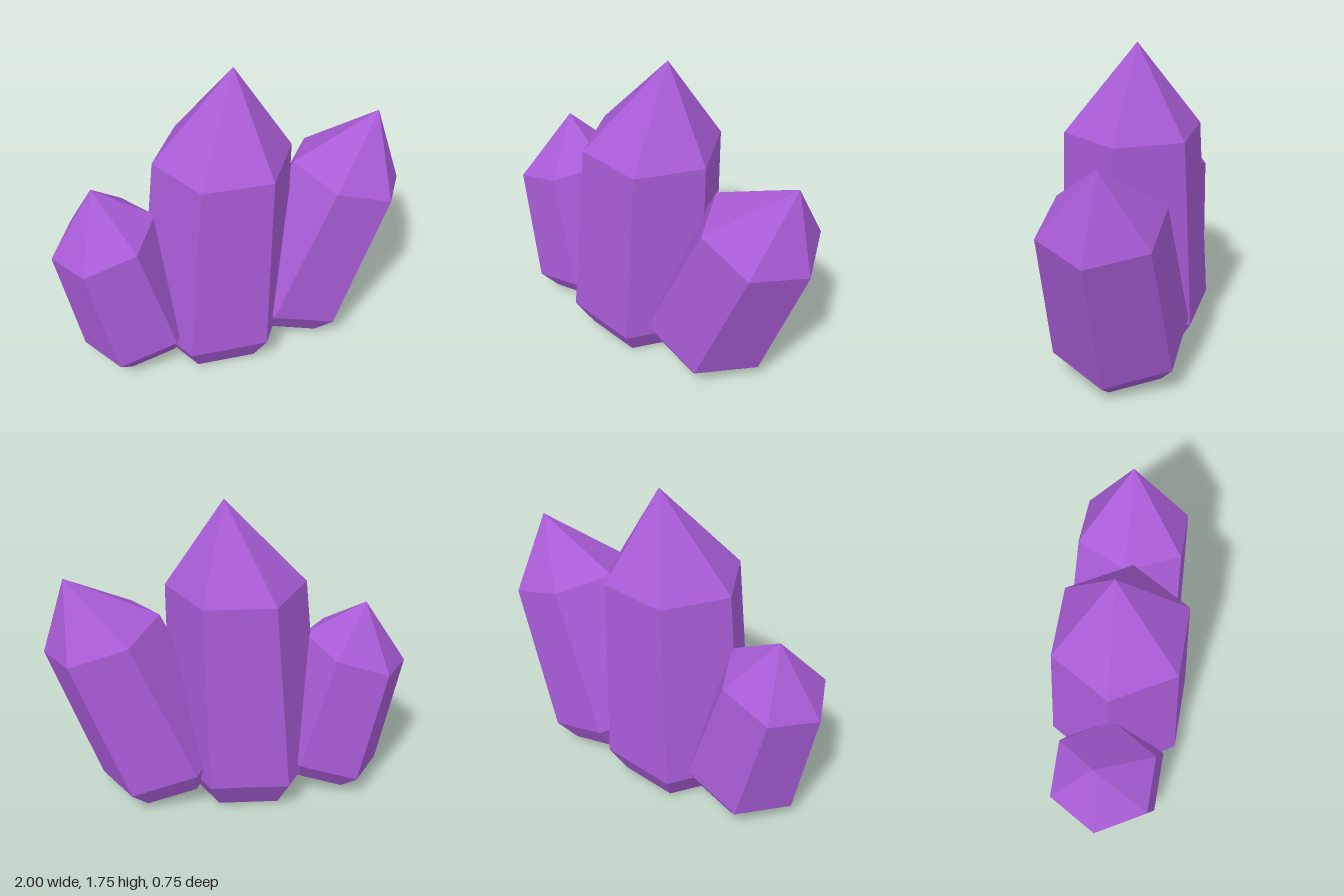
import * as THREE from 'three';

const SIDES = 6;

// Hexagonal crystal: rings of [x, y, radius] from base to shoulder, then an off-centre tip.
// The rings lean in the x-y plane by the angle tilt.
function crystalGeometry({ rings, z, tilt, tip }) {
  const points = rings.map(([cx, cy, r]) =>
    Array.from({ length: SIDES }, (_, i) => {
      const a = (i / SIDES) * Math.PI * 2;
      const u = r * Math.cos(a);
      return [cx + u * Math.cos(tilt), cy + u * Math.sin(tilt), z + r * Math.sin(a)];
    }));
  const pos = [];
  const tri = (a, b, c) => pos.push(...a, ...b, ...c);
  const base = [rings[0][0], rings[0][1], z];
  const last = points[points.length - 1];

  for (let i = 0; i < SIDES; i++) {
    const j = (i + 1) % SIDES;
    tri(base, points[0][i], points[0][j]); // flat underside
    for (let k = 0; k < points.length - 1; k++) { // chamfer and long facets
      const lo = points[k], hi = points[k + 1];
      tri(lo[j], lo[i], hi[i]);
      tri(lo[j], hi[i], hi[j]);
    }
    tri(last[j], last[i], tip); // pointed cap
  }
  const g = new THREE.BufferGeometry();
  g.setAttribute('position', new THREE.Float32BufferAttribute(pos, 3));
  g.computeVertexNormals(); // unshared corners give flat facets
  return g;
}

const CRYSTALS = [
  {
    name: 'centreCrystal', z: 0, tilt: 0, tip: [0.02, 1.75, -0.04],
    rings: [[-0.105, 0.025, 0.33], [-0.105, 0.195, 0.434], [-0.047, 1.268, 0.379]],
  },
  {
    name: 'leftCrystal', z: -0.05, tilt: -0.318, tip: [0.855, 1.35, -0.085],
    rings: [[0.326, 0.095, 0.289], [0.365, 0.22, 0.379], [0.68, 1.01, 0.332]],
  },
  {
    name: 'rightCrystal', z: 0.018, tilt: 0.318, tip: [-0.752, 1.147, -0.02],
    rings: [[-0.52, 0.105, 0.263], [-0.555, 0.205, 0.344], [-0.716, 0.853, 0.301]],
  },
];

export function createModel() {
  const group = new THREE.Group();
  group.name = 'crystalCluster';
  const amethyst = new THREE.MeshStandardMaterial({ color: 0xa85cd6 });
  amethyst.name = 'amethyst purple';
  amethyst.flatShading = true;

  for (const spec of CRYSTALS) {
    const mesh = new THREE.Mesh(crystalGeometry(spec), amethyst);
    mesh.name = spec.name;
    group.add(mesh);
  }
  return group;
}
